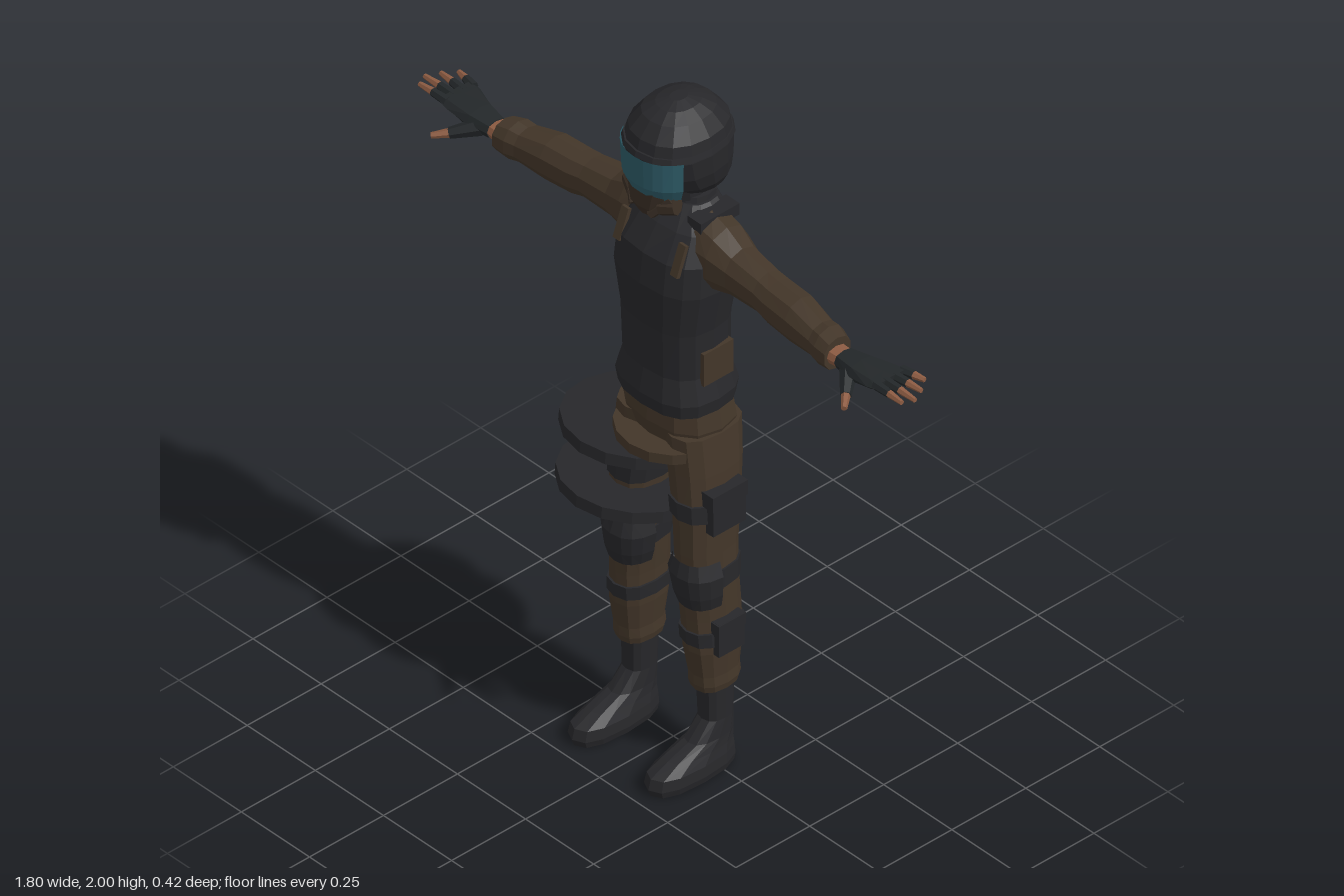
import * as THREE from 'three';

const mat = (name, color, side = THREE.FrontSide) => {
  const m = new THREE.MeshStandardMaterial({ color, side });
  m.name = name;
  return m;
};

// Flat facets: every triangle gets its own normal
function facet(geo) {
  const g = geo.index ? geo.toNonIndexed() : geo;
  g.computeVertexNormals();
  return g;
}

// Skin of rounded cross-sections [pos, c1, c2, r1, r2] along 'y' (c: x,z) or 'x' (c: y,z).
// An arc [from, to] in radians gives an open shell.
function loft(sections, { axis = 'y', n = 12, power = 0.8, arc = null } = {}) {
  const [from, to] = arc || [0, Math.PI * 2];
  const round = v => Math.sign(v) * Math.abs(v) ** power;
  const place = (s, u, v) => axis === 'y' ? [u, s[0], v] : [s[0], u, v];
  const flip = axis === 'y' ? 1 : -1;
  const pos = [], idx = [], w = n + 1;
  for (const s of sections) {
    for (let i = 0; i <= n; i++) {
      const t = from + (to - from) * i / n;
      pos.push(...place(s, s[1] + s[3] * round(Math.cos(t)), s[2] + flip * s[4] * round(Math.sin(t))));
    }
  }
  for (let j = 0; j < sections.length - 1; j++) {
    for (let i = 0; i < n; i++) {
      const a = j * w + i, d = a + w;
      idx.push(a, d, a + 1, a + 1, d, d + 1);
    }
  }
  if (!arc) {
    const last = sections.length - 1, c = pos.length / 3;
    pos.push(...place(sections[0], sections[0][1], sections[0][2]));
    pos.push(...place(sections[last], sections[last][1], sections[last][2]));
    for (let i = 0; i < n; i++) idx.push(c, i, i + 1, c + 1, last * w + i + 1, last * w + i);
  }
  const g = new THREE.BufferGeometry();
  g.setAttribute('position', new THREE.Float32BufferAttribute(pos, 3));
  g.setIndex(idx);
  return facet(g);
}

// Tapered rod between two points
function rod(p, q, r1, r2, n = 6) {
  const a = new THREE.Vector3(...p), b = new THREE.Vector3(...q), dir = b.clone().sub(a);
  const g = new THREE.CylinderGeometry(r2, r1, dir.length(), n);
  g.applyQuaternion(new THREE.Quaternion().setFromUnitVectors(new THREE.Vector3(0, 1, 0), dir.normalize()));
  const m = a.add(b).multiplyScalar(0.5);
  return facet(g.translate(m.x, m.y, m.z));
}

function box(w, h, d, x, y, z, rx = 0) {
  return facet(new THREE.BoxGeometry(w, h, d).rotateX(rx).translate(x, y, z));
}

function disc(r, h, x, y, z, tilt) {
  return facet(new THREE.CylinderGeometry(r, r, h, 16).rotateX(tilt).translate(x, y, z));
}

// Mirror across x = 0, restoring the corner order
function mirror(geo) {
  const g = geo.clone(), p = g.attributes.position;
  for (let i = 0; i < p.count; i += 3) {
    const v = [0, 2, 1].map(k => [-p.getX(i + k), p.getY(i + k), p.getZ(i + k)]);
    v.forEach((c, k) => p.setXYZ(i + k, ...c));
  }
  g.computeVertexNormals();
  return g;
}

export function createModel() {
  const root = new THREE.Group();
  root.name = 'armouredFigure';
  const black = mat('black gear', 0x27272a);
  const cloth = mat('brown cloth', 0x433629);
  const mask = mat('dark brown mask', 0x382d24);
  const glass = mat('teal visor', 0x2d5a66, THREE.DoubleSide);
  const skin = mat('skin', 0x8c5b42);
  const glove = mat('glove', 0x232729);

  const add = (name, geo, m) => {
    const mesh = new THREE.Mesh(geo, m);
    mesh.name = name;
    root.add(mesh);
  };
  const pair = (name, geo, m) => {
    add(name + 'Left', geo, m);
    add(name + 'Right', mirror(geo), m);
  };

  // Vest, collar and pelvis
  add('vest', loft([
    [1.10, 0, -0.012, 0.150, 0.122], [1.14, 0, -0.012, 0.156, 0.128], [1.21, 0, -0.01, 0.136, 0.112],
    [1.35, 0, -0.008, 0.140, 0.114], [1.48, 0, -0.01, 0.163, 0.125], [1.57, 0, -0.014, 0.160, 0.118],
    [1.64, 0, -0.036, 0.135, 0.092], [1.69, 0, -0.055, 0.075, 0.058]], { n: 16, power: 0.75 }), black);
  add('collar', loft([[1.64, 0, -0.05, 0.075, 0.07], [1.705, 0, -0.058, 0.066, 0.055]]), black);
  add('neck', loft([[1.66, 0, -0.045, 0.052, 0.05], [1.78, 0, -0.04, 0.055, 0.055]]), black);
  pair('shoulderStrap', box(0.05, 0.035, 0.13, 0.098, 1.665, -0.045), black);
  pair('strapBuckle', box(0.025, 0.09, 0.012, 0.105, 1.59, 0.077, -0.35), cloth);
  pair('sidePouch', box(0.03, 0.10, 0.10, 0.129, 1.24, -0.02), cloth);
  add('pelvis', loft([
    [0.91, 0, -0.015, 0.06, 0.06], [0.97, 0, -0.02, 0.135, 0.098],
    [1.04, 0, -0.022, 0.155, 0.114], [1.13, 0, -0.02, 0.142, 0.105]]), cloth);
  add('hipRing', disc(0.155, 0.03, 0, 0.98, -0.005, 0), cloth);
  add('crotchBuckle', box(0.04, 0.035, 0.03, 0, 0.935, 0.08), black);

  // Helmet, visor and breathing mask
  add('helmet', loft([
    [1.735, 0, -0.06, 0.085, 0.080], [1.77, 0, -0.043, 0.108, 0.110], [1.82, 0, -0.025, 0.121, 0.132],
    [1.88, 0, -0.016, 0.125, 0.143], [1.93, 0, -0.018, 0.114, 0.132], [1.97, 0, -0.018, 0.085, 0.098],
    [1.99, 0, -0.018, 0.052, 0.062], [2.0, 0, -0.018, 0.02, 0.025]], { n: 16, power: 0.9 }), black);
  add('helmetBrim', loft([[1.885, 0, -0.016, 0.127, 0.148], [1.90, 0, -0.016, 0.123, 0.143]],
    { n: 16, power: 0.9 }), black);
  add('visor', loft([
    [1.762, 0, -0.012, 0.104, 0.128], [1.80, 0, -0.012, 0.122, 0.143], [1.888, 0, -0.012, 0.127, 0.147]],
    { n: 10, power: 0.9, arc: [0.53, Math.PI - 0.53] }), glass);
  add('mask', loft([
    [1.695, 0, 0.075, 0.03, 0.03], [1.725, 0, 0.07, 0.058, 0.05], [1.78, 0, 0.06, 0.08, 0.06]]), mask);
  pair('maskFilter', rod([0.045, 1.735, 0.08], [0.085, 1.745, 0.065], 0.03, 0.026, 8), mask);
  pair('maskHose', rod([0.03, 1.71, 0.105], [0.075, 1.765, 0.075], 0.015, 0.015), mask);

  // Sleeves
  pair('sleeve', loft([
    [0.10, 1.57, -0.035, 0.115, 0.080], [0.16, 1.575, -0.033, 0.092, 0.076], [0.22, 1.568, -0.03, 0.068, 0.062],
    [0.32, 1.563, -0.025, 0.058, 0.055], [0.36, 1.557, -0.022, 0.062, 0.057], [0.45, 1.555, -0.016, 0.064, 0.058],
    [0.54, 1.55, -0.005, 0.050, 0.05], [0.57, 1.55, 0, 0.055, 0.053], [0.61, 1.55, 0.008, 0.047, 0.046]],
    { axis: 'x', n: 10, power: 0.9 }), cloth);

  // Hands with fingerless gloves
  pair('wrist', loft([[0.60, 1.55, 0.012, 0.024, 0.032], [0.65, 1.552, 0.012, 0.021, 0.03]], { axis: 'x', n: 8 }), skin);
  pair('glove', loft([
    [0.638, 1.552, 0.012, 0.024, 0.033], [0.70, 1.553, 0.01, 0.028, 0.046],
    [0.77, 1.561, 0, 0.019, 0.058], [0.80, 1.566, -0.004, 0.013, 0.058]], { axis: 'x', n: 8 }), glove);
  const fingers = [[-0.048, 0.855, -0.062], [-0.018, 0.882, -0.026], [0.012, 0.90, 0.012], [0.040, 0.885, 0.043]];
  for (const [z, tipX, tipZ] of fingers) {
    const mid = [(0.79 + tipX) / 2, 1.568, (z + tipZ) / 2];
    pair('fingerGlove', rod([0.785, 1.566, z], mid, 0.014, 0.012), glove);
    pair('finger', rod(mid, [tipX, 1.567, tipZ], 0.011, 0.007), skin);
  }
  pair('thumbGlove', rod([0.675, 1.545, 0.03], [0.728, 1.525, 0.088], 0.024, 0.015), glove);
  pair('thumb', rod([0.725, 1.526, 0.085], [0.758, 1.518, 0.122], 0.013, 0.008), skin);

  // Trouser legs
  const leg = [
    [0.25, 0.137, -0.012, 0.047, 0.064], [0.27, 0.137, -0.012, 0.052, 0.07], [0.30, 0.137, -0.01, 0.050, 0.069],
    [0.38, 0.135, -0.008, 0.058, 0.08], [0.48, 0.130, -0.006, 0.056, 0.083], [0.58, 0.125, 0, 0.060, 0.083],
    [0.68, 0.120, 0, 0.062, 0.086], [0.80, 0.115, -0.006, 0.066, 0.092], [0.92, 0.100, -0.015, 0.072, 0.10],
    [1.03, 0.085, -0.02, 0.073, 0.106]];
  pair('trouserLeg', loft(leg), cloth);

  // Bands that follow the leg, slightly proud of it
  const legAt = (y, grow) => {
    const j = Math.max(1, leg.findIndex(s => s[0] >= y)), a = leg[j - 1], b = leg[j];
    const t = (y - a[0]) / (b[0] - a[0]);
    return a.map((v, k) => v + (b[k] - v) * t + (k > 2 ? grow : 0));
  };
  const band = (y0, y1, grow, options) => loft([legAt(y0, grow), legAt(y1, grow)], options);
  pair('shinStrap', band(0.405, 0.445, 0.006), black);
  pair('kneeStrap', band(0.575, 0.63, 0.005), black);
  pair('thighStrap', band(0.79, 0.84, 0.006), black);

  // Knee pads wrap the front half of the leg
  const pad = (y, g) => legAt(y, g);
  const padSkin = loft([pad(0.52, 0.002), pad(0.56, 0.012), pad(0.62, 0.018), pad(0.66, 0.004)],
    { n: 8, arc: [0.1, Math.PI - 0.1] });
  pair('kneePad', padSkin, black);

  // Leg pouches
  add('thighPouch', box(0.035, 0.12, 0.11, 0.182, 0.82, -0.006), black);
  add('thighPouchFlap', box(0.042, 0.045, 0.118, 0.182, 0.862, -0.006), black);
  add('shinPouch', box(0.03, 0.10, 0.085, 0.192, 0.43, -0.006), black);
  add('shinPouchFlap', box(0.036, 0.035, 0.092, 0.192, 0.462, -0.006), black);
  add('shinBuckle', box(0.02, 0.09, 0.05, -0.194, 0.425, 0), black);

  // Two tilted plates around the right thigh, with a holster between them
  add('upperPlate', disc(0.2, 0.034, -0.138, 0.907, -0.01, -0.1), black);
  add('lowerPlate', disc(0.2, 0.034, -0.135, 0.748, 0.005, -0.09), black);
  add('holster', box(0.04, 0.14, 0.09, -0.185, 0.83, -0.005), black);

  // Boots
  pair('boot', loft([
    [0, 0.14, 0.072, 0.052, 0.135], [0.02, 0.14, 0.074, 0.057, 0.14], [0.05, 0.14, 0.071, 0.054, 0.135],
    [0.075, 0.14, 0.045, 0.046, 0.105], [0.10, 0.14, 0.01, 0.040, 0.07], [0.15, 0.139, -0.014, 0.037, 0.046],
    [0.28, 0.138, -0.014, 0.041, 0.05]]), black);
  return root;
}
